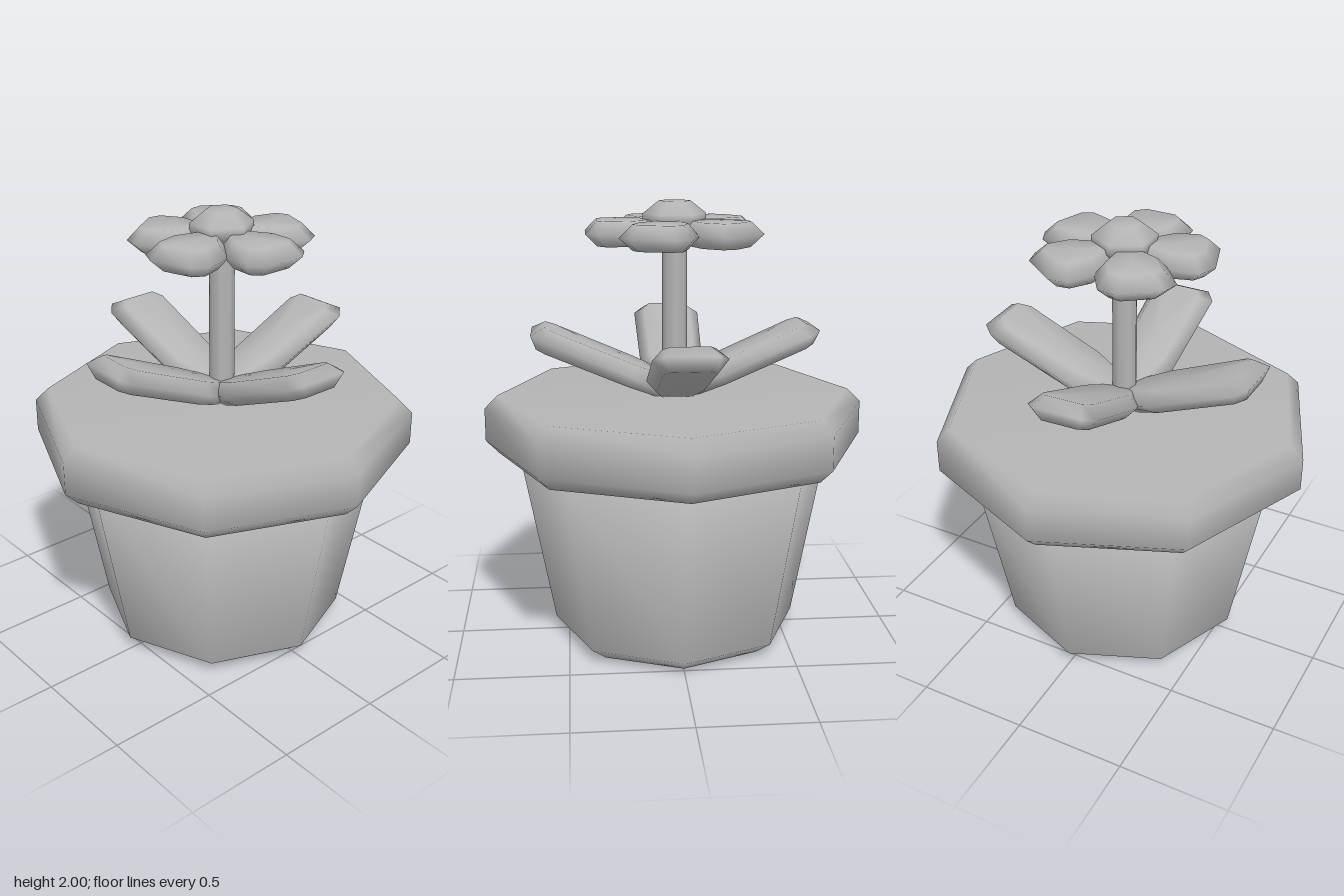
import * as THREE from 'three';

const clay = new THREE.MeshStandardMaterial({ color: 0xb4b4b4 });
clay.name = 'plain grey';

function part(name, geometry) {
  const mesh = new THREE.Mesh(geometry, clay);
  mesh.name = name;
  return mesh;
}

// Low-sided turned shape from [radius, height] pairs, listed upwards
function turned(name, profile, sides = 8) {
  const points = profile.map(([r, y]) => new THREE.Vector2(r, y));
  return part(name, new THREE.LatheGeometry(points, sides));
}

// Smooth plate whose outline bulges at mid thickness; half is [x, z] from root to tip
function bevelledPlate(half, thickness, inset) {
  const outline = [...half, ...half.slice().reverse().map(([x, z]) => [x, -z])];
  const n = outline.length;
  const xs = half.map((p) => p[0]);
  const x0 = Math.min(...xs), x1 = Math.max(...xs);
  const width = Math.max(...half.map((p) => p[1]));
  const centre = (x0 + x1) / 2;
  const sx = 1 - (2 * inset) / (x1 - x0), sz = 1 - inset / width;
  const positions = [], index = [];
  for (const level of [-1, 0, 1]) {
    for (const [x, z] of outline) {
      if (level === 0) positions.push(x, 0, z);
      else positions.push(centre + (x - centre) * sx, (level * thickness) / 2, z * sz);
    }
  }
  positions.push(centre, -thickness / 2, 0, centre, thickness / 2, 0);
  for (let i = 0; i < n; i++) {
    const j = (i + 1) % n;
    for (const k of [0, n]) index.push(k + i, k + j, k + n + i, k + j, k + n + j, k + n + i);
    index.push(3 * n, j, i, 3 * n + 1, 2 * n + i, 2 * n + j);
  }
  const geometry = new THREE.BufferGeometry();
  geometry.setAttribute('position', new THREE.Float32BufferAttribute(positions, 3));
  geometry.setIndex(index);
  geometry.computeVertexNormals();
  return geometry;
}

export function createModel() {
  const model = new THREE.Group();
  model.name = 'pottedFlower';

  // Pot with a heavy rim
  model.add(turned('pot', [[0, 0], [0.48, 0], [0.56, 0.06], [0.715, 0.89], [0, 0.89]]));
  model.add(turned('rim', [[0, 0.87], [0.8, 0.87], [0.86, 0.93], [0.86, 1.08], [0.8, 1.14], [0, 1.14]]));

  // Four leaves leaning outwards, each turned by a hair
  const leafGeometry = bevelledPlate([[0, 0.08], [0.2, 0.145], [0.645, 0.157], [0.697, 0.115]], 0.105, 0.045);
  [0, 0.027, 0.042, -0.012].forEach((twist, i) => {
    const leaf = part('leaf', leafGeometry);
    leaf.position.y = 1.155;
    leaf.rotation.set(0, (i * Math.PI) / 2 + twist, 0.405);
    model.add(leaf);
  });

  // Stem
  model.add(turned('stem', [[0.056, 1.1], [0.056, 1.79], [0.04, 1.83]]));

  // Five petals
  const petalGeometry = bevelledPlate([[0.02, 0.03], [0.2, 0.155], [0.34, 0.16], [0.393, 0.1]], 0.11, 0.05);
  for (let i = 0; i < 5; i++) {
    const petal = part('petal', petalGeometry);
    petal.position.y = 1.865;
    petal.rotation.y = (i * Math.PI * 2) / 5;
    model.add(petal);
  }

  // Domed flower centre
  const flowerCentre = turned('flowerCentre', [[0, 1.85], [0.09, 1.85], [0.14, 1.9], [0.14, 1.945], [0.07, 2], [0, 2]], 6);
  flowerCentre.rotation.y = Math.PI / 6;
  model.add(flowerCentre);

  return model;
}
